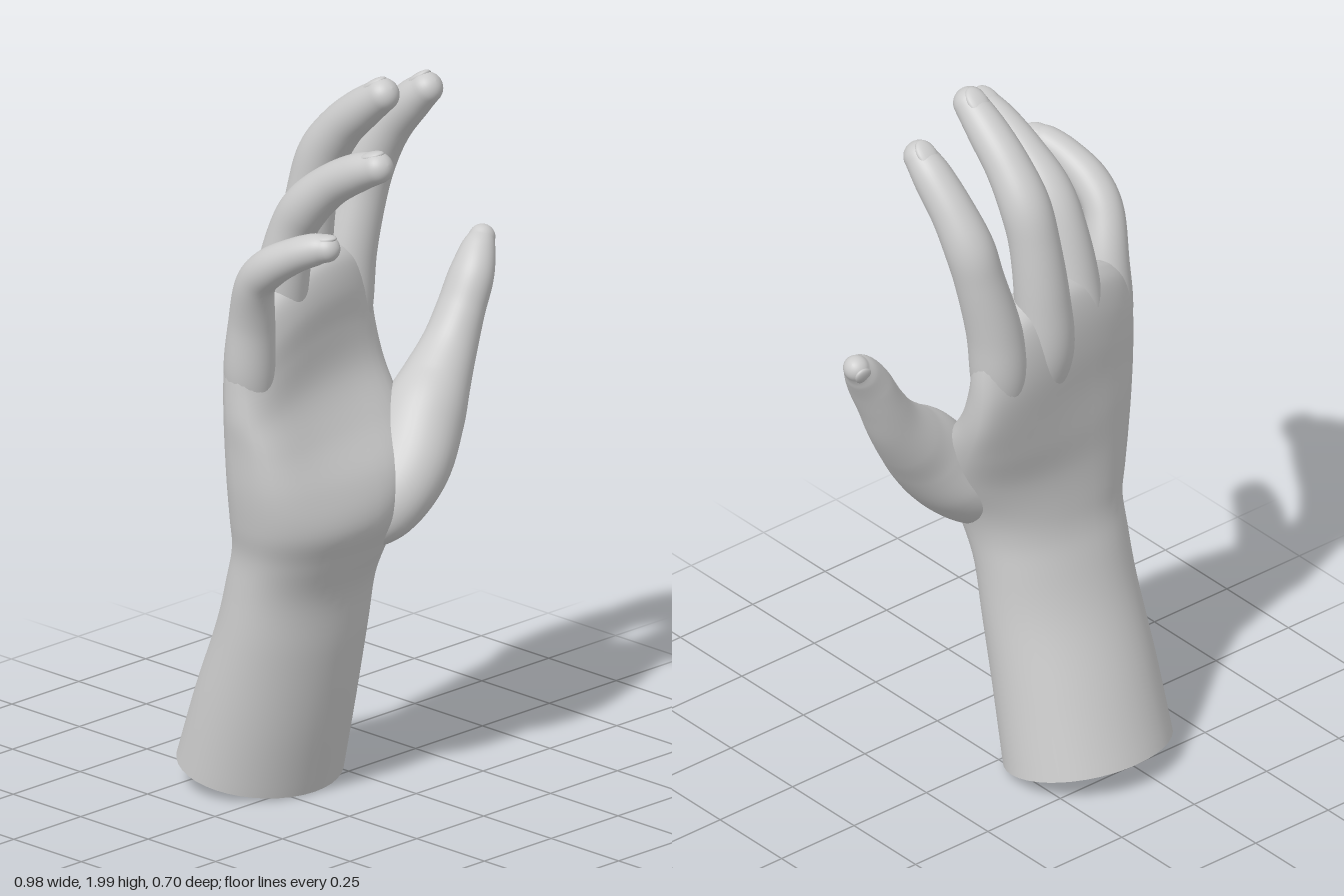
import * as THREE from 'three';

const SIDES = 40;
const skin = new THREE.MeshStandardMaterial({ color: 0xcccccc, roughness: 0.8, side: THREE.DoubleSide });

// Smooth spline through rows of numbers; t counts rows.
function spline(rows) {
  const f = new THREE.CubicInterpolant(rows.map((_, i) => i), rows.flat(), rows[0].length);
  return (t) => Array.from(f.evaluate(t));
}

// Skin a list of closed rings, each an array of SIDES points.
function loft(rings) {
  const pos = rings.flat().flatMap((p) => [p.x, p.y, p.z]);
  const index = [];
  for (let i = 0; i < rings.length - 1; i++) {
    for (let j = 0; j < SIDES; j++) {
      const a = i * SIDES + j, b = i * SIDES + (j + 1) % SIDES;
      index.push(a, a + SIDES, b, b, a + SIDES, b + SIDES);
    }
  }
  const g = new THREE.BufferGeometry();
  g.setAttribute('position', new THREE.Float32BufferAttribute(pos, 3));
  g.setIndex(index);
  g.computeVertexNormals();
  return g;
}

function ring(pointAt) {
  return Array.from({ length: SIDES }, (_, j) => pointAt((j / SIDES) * Math.PI * 2));
}

// Forearm, wrist and palm sections:
// y, centre x, centre z, half width, half thickness, slant of z over x, squareness, tilt of y over z, palm hollow
const armRows = [
  [0.04, -0.18, -0.15, 0.24, 0.2, 0, 2, -0.2, 0],
  [0.25, -0.187, -0.085, 0.233, 0.188, 0, 2, -0.2, 0],
  [0.45, -0.188, -0.025, 0.228, 0.167, 0, 2, -0.2, 0],
  [0.6, -0.186, 0.008, 0.226, 0.155, 0, 2.1, -0.15, 0],
  [0.7, -0.183, 0.04, 0.232, 0.165, 0, 2.2, -0.05, 0],
  [0.79, -0.18, 0.06, 0.255, 0.178, 0, 2.3, 0, 0],
  [0.9, -0.165, 0.055, 0.287, 0.172, -0.02, 2.4, 0, 0.02],
  [1.02, -0.155, 0.02, 0.305, 0.148, -0.1, 2.5, 0, 0.04],
  [1.14, -0.152, -0.015, 0.315, 0.118, -0.17, 2.5, 0, 0.035],
  [1.26, -0.15, -0.035, 0.315, 0.102, -0.2, 2.5, 0, 0.015],
  [1.36, -0.15, -0.04, 0.31, 0.088, -0.2, 2.5, 0, 0],
  [1.43, -0.15, -0.04, 0.295, 0.066, -0.2, 2.4, 0, 0],
  [1.46, -0.15, -0.04, 0.26, 0.032, -0.2, 2.2, 0, 0],
  [1.465, -0.15, -0.04, 0.2, 0.002, -0.2, 2, 0, 0],
];

function armGeometry() {
  const at = spline(armRows);
  const steps = (armRows.length - 1) * 6;
  const rings = [];
  for (let i = 0; i <= steps; i++) {
    const [y, cx, cz, hw, ht, slant, n, tilt, hollow] = at(i / 6);
    const arch = THREE.MathUtils.smoothstep(y, 0.95, 1.4);
    rings.push(ring((a) => {
      const c = Math.cos(a), s = Math.sin(a);
      const dx = hw * Math.sign(c) * Math.abs(c) ** (2 / n);
      let dz = ht * Math.sign(s) * Math.abs(s) ** (2 / n);
      if (s > 0) dz -= hollow * s ** 4;
      const x = cx + dx;
      // the knuckle line drops toward the little finger and the index side
      return new THREE.Vector3(x, y + tilt * dz - arch * 0.9 * (x + 0.1) ** 2, cz + dz + slant * dx);
    }));
  }
  return loft(rings);
}

// Finger along rows of x, y, z, half width, half depth, with a rounded tip and a nail.
function makeFinger(name, rows) {
  const at = spline(rows);
  const last = rows.length - 1;
  const frame = (t) => {
    const [x, y, z, w, d] = at(t);
    const p = at(Math.max(0, t - 0.05)), q = at(Math.min(last, t + 0.05));
    const along = new THREE.Vector3(q[0] - p[0], q[1] - p[1], q[2] - p[2]).normalize();
    const side = new THREE.Vector3(1, 0, 0);
    side.addScaledVector(along, -side.dot(along)).normalize();
    const front = new THREE.Vector3().crossVectors(side, along);
    return { centre: new THREE.Vector3(x, y, z), along, side, front, w, d };
  };
  const section = (f, scale, ahead) => ring((a) => f.centre.clone()
    .addScaledVector(f.along, ahead)
    .addScaledVector(f.side, f.w * scale * Math.cos(a))
    .addScaledVector(f.front, f.d * scale * Math.sin(a)));

  const rings = [];
  for (let i = 0; i <= last * 8; i++) rings.push(section(frame(i / 8), 1, 0));
  const end = frame(last);
  for (let k = 1; k <= 8; k++) {
    const a = (k / 8) * Math.PI / 2;
    rings.push(section(end, Math.max(Math.cos(a), 0.01), end.w * Math.sin(a)));
  }
  const group = new THREE.Group();
  group.name = name;
  const body = new THREE.Mesh(loft(rings), skin);
  body.name = name + 'Skin';

  // nail lying on the back of the tip
  const nail = new THREE.Mesh(new THREE.SphereGeometry(1, 24, 16), skin);
  nail.name = name + 'Nail';
  const f = frame(last - 0.15);
  nail.position.copy(f.centre).addScaledVector(f.front, -f.d * 0.74);
  nail.quaternion.setFromRotationMatrix(new THREE.Matrix4().makeBasis(f.side, f.along, f.front));
  nail.scale.set(f.w * 0.66, f.w * 0.95, f.d * 0.3);
  group.add(body, nail);
  return group;
}

// Equal width and depth for the four fingers
const round = (rows) => rows.map(([x, y, z, r]) => [x, y, z, r, r]);

const fingers = {
  indexFinger: round([
    [0.06, 1.14, -0.07, 0.06], [0.075, 1.28, -0.09, 0.077], [0.092, 1.42, -0.088, 0.074],
    [0.127, 1.58, -0.072, 0.067], [0.145, 1.68, -0.05, 0.067], [0.158, 1.77, 0.0, 0.06],
    [0.168, 1.85, 0.068, 0.054], [0.172, 1.895, 0.118, 0.044],
  ]),
  middleFinger: round([
    [-0.085, 1.14, -0.06, 0.06], [-0.08, 1.3, -0.09, 0.08], [-0.07, 1.46, -0.093, 0.074],
    [-0.06, 1.62, -0.075, 0.068], [-0.053, 1.73, -0.042, 0.068], [-0.05, 1.82, 0.023, 0.061],
    [-0.048, 1.89, 0.1, 0.055], [-0.047, 1.945, 0.172, 0.045],
  ]),
  ringFinger: round([
    [-0.22, 1.12, -0.03, 0.06], [-0.233, 1.27, -0.035, 0.077], [-0.237, 1.42, -0.015, 0.073],
    [-0.232, 1.57, 0.02, 0.064], [-0.226, 1.655, 0.07, 0.064], [-0.216, 1.73, 0.15, 0.057],
    [-0.209, 1.785, 0.24, 0.052], [-0.206, 1.815, 0.31, 0.043],
  ]),
  littleFinger: round([
    [-0.38, 1.08, 0.02, 0.05], [-0.396, 1.22, 0.025, 0.068], [-0.408, 1.37, 0.045, 0.062],
    [-0.435, 1.49, 0.085, 0.054], [-0.438, 1.555, 0.145, 0.053], [-0.422, 1.603, 0.22, 0.047],
    [-0.402, 1.628, 0.275, 0.043], [-0.39, 1.634, 0.305, 0.036],
  ]),
  // the thumb starts in the thick pad at the heel of the palm
  thumb: [
    [-0.09, 0.71, 0.08, 0.06, 0.08], [-0.01, 0.79, 0.11, 0.1, 0.135], [0.08, 0.88, 0.12, 0.112, 0.145],
    [0.165, 0.985, 0.11, 0.11, 0.12], [0.235, 1.06, 0.092, 0.092, 0.096], [0.3, 1.14, 0.078, 0.074, 0.076],
    [0.35, 1.225, 0.07, 0.062, 0.068], [0.392, 1.305, 0.066, 0.057, 0.064],
    [0.43, 1.36, 0.052, 0.047, 0.05], [0.456, 1.388, 0.042, 0.035, 0.036],
  ],
};

export function createModel() {
  const hand = new THREE.Group();
  hand.name = 'hand';
  const arm = new THREE.Mesh(armGeometry(), skin);
  arm.name = 'forearmAndPalm';
  hand.add(arm);
  for (const [name, rows] of Object.entries(fingers)) hand.add(makeFinger(name, rows));
  return hand;
}
